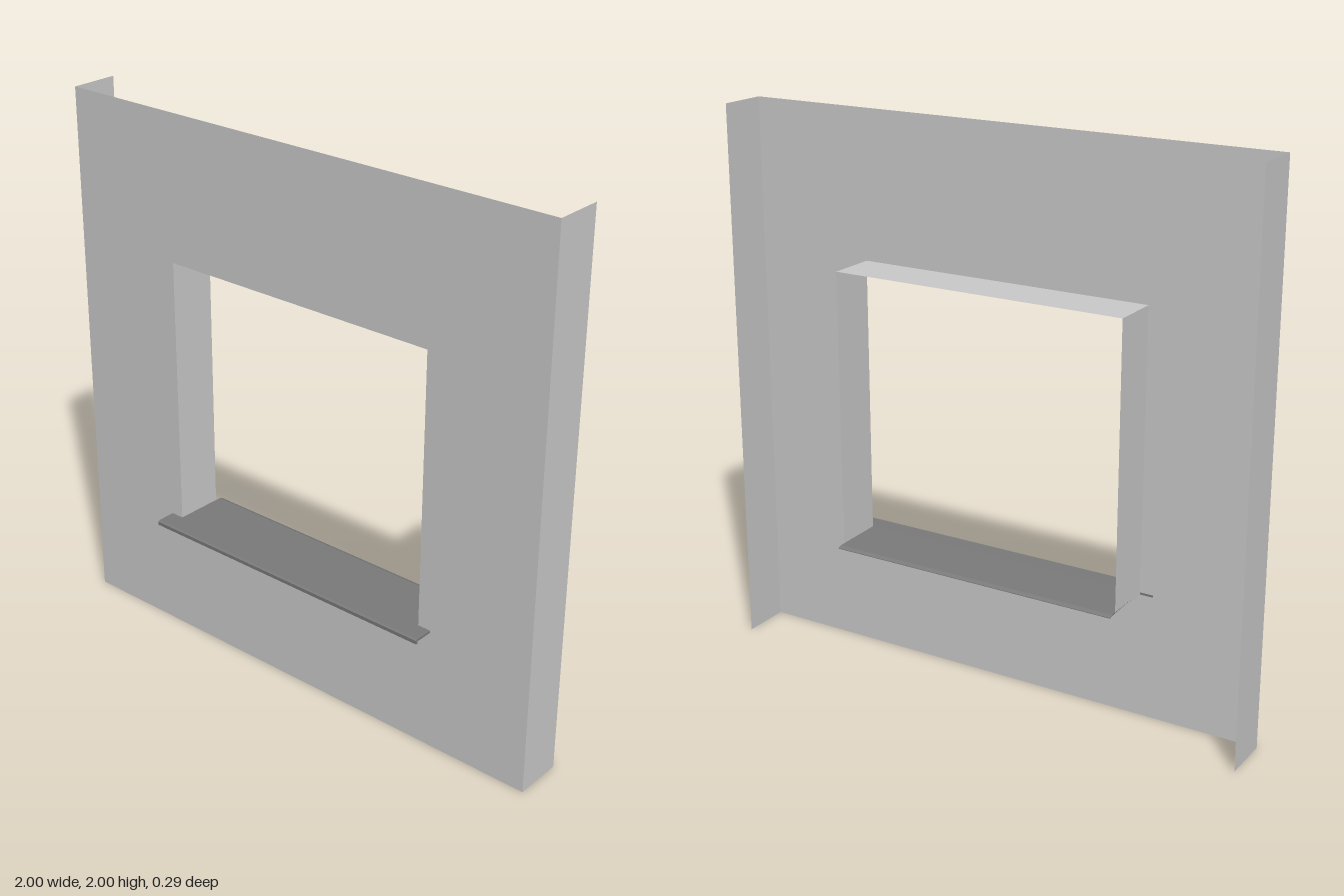
import * as THREE from 'three';

const FRONT = 0.07, BACK = -0.11;            // depth of the folded sheet
const HALF = 0.55, LOW = 0.45, HIGH = 1.465; // window opening

const sheet = new THREE.MeshStandardMaterial({ color: 0xcccccc, side: THREE.DoubleSide, flatShading: true });
const dark = new THREE.MeshStandardMaterial({ color: 0x7b7b7b, side: THREE.DoubleSide, flatShading: true });

function add(parent, name, geometry, material) {
  const mesh = new THREE.Mesh(geometry, material);
  mesh.name = name;
  parent.add(mesh);
  return mesh;
}

// Extrudes a [z, y] outline along x, centred on x = 0
function alongX(points, halfWidth) {
  const shape = new THREE.Shape(points.map(([z, y]) => new THREE.Vector2(-z, y)));
  return new THREE.ExtrudeGeometry(shape, { depth: 2 * halfWidth, bevelEnabled: false })
    .translate(0, 0, -halfWidth)
    .rotateY(Math.PI / 2);
}

export function createModel() {
  const group = new THREE.Group();
  group.name = 'windowPanel';
  const depth = FRONT - BACK, mid = (FRONT + BACK) / 2;

  // Front sheet with the window opening
  const face = new THREE.Shape([[-1, 0], [1, 0], [1, 2], [-1, 2]].map(p => new THREE.Vector2(...p)));
  face.holes.push(new THREE.Path([[-HALF, LOW], [-HALF, HIGH], [HALF, HIGH], [HALF, LOW]]
    .map(p => new THREE.Vector2(...p))));
  add(group, 'frontPanel', new THREE.ShapeGeometry(face).translate(0, 0, FRONT), sheet);

  // Outer returns and window jambs, mirrored left and right
  for (const [side, label] of [[1, 'left'], [-1, 'right']]) {
    add(group, label + 'Return', new THREE.PlaneGeometry(depth, 2)
      .rotateY(side * Math.PI / 2).translate(side, 1, mid), sheet);
    add(group, label + 'Jamb', new THREE.PlaneGeometry(depth, HIGH - LOW)
      .rotateY(-side * Math.PI / 2).translate(side * HALF, (HIGH + LOW) / 2, mid), sheet);
  }

  // Head and base of the window reveal
  add(group, 'revealHead', new THREE.PlaneGeometry(2 * HALF, depth)
    .rotateX(Math.PI / 2).translate(0, HIGH, mid), sheet);
  add(group, 'revealBase', new THREE.PlaneGeometry(2 * HALF, depth)
    .rotateX(-Math.PI / 2).translate(0, LOW, mid), sheet);

  // Dark sill: wide nose with a drip lip, narrower board through the opening
  const sill = new THREE.Group();
  sill.name = 'sill';
  group.add(sill);
  add(sill, 'sillNose', alongX([
    [FRONT, 0.452], [FRONT, 0.46], [0.139, 0.46], [0.145, 0.456],
    [0.145, 0.443], [0.138, 0.443], [0.138, 0.452],
  ], 0.6), dark);
  add(sill, 'sillBoard', alongX([
    [FRONT, 0.452], [FRONT, 0.46], [-0.13, 0.458], [-0.145, 0.452], [-0.145, 0.45], [-0.13, 0.454], [BACK, 0.453],
  ], HALF), dark);

  return group;
}
